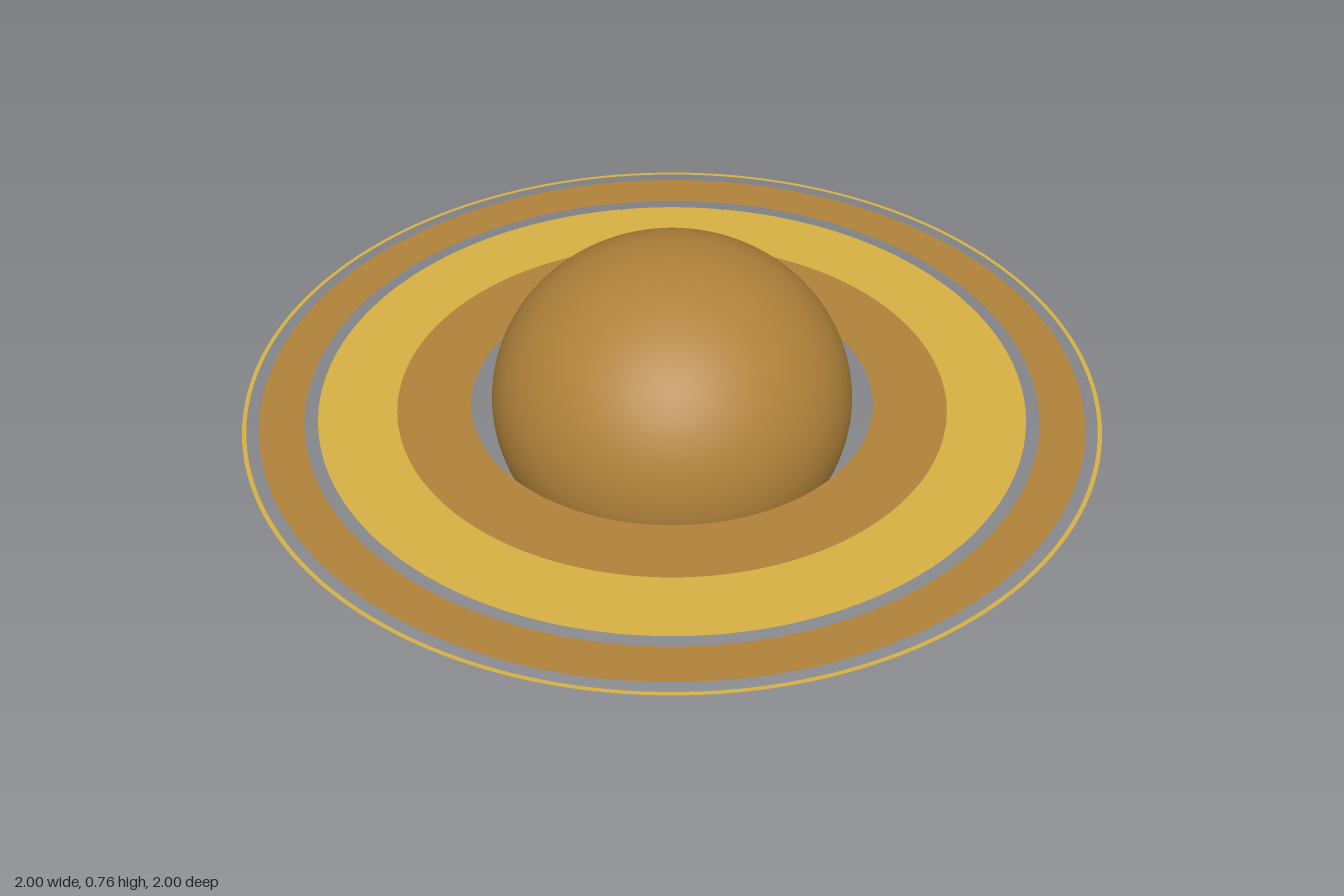
import * as THREE from 'three';

const EQUATOR = 0.422; // planet radius across the rings' plane
const POLE = 0.382;    // flattened radius towards the poles

export function createModel() {
  const model = new THREE.Group();
  model.name = 'ringedPlanet';

  const tan = new THREE.MeshStandardMaterial({ name: 'tan brown', color: 0xb0823a, side: THREE.DoubleSide });
  const gold = new THREE.MeshStandardMaterial({ name: 'dull gold', color: 0xd6b042, side: THREE.DoubleSide });

  // Planet: a sphere squashed at the poles
  const ball = new THREE.SphereGeometry(1, 96, 64);
  ball.scale(EQUATOR, POLE, EQUATOR);
  const planet = new THREE.Mesh(ball, tan);
  planet.name = 'planet';
  planet.position.y = POLE;
  model.add(planet);

  // Flat rings around the equator, from the inside out
  const rings = [
    ['innerRing', 0.471, 0.643, tan],
    ['middleRing', 0.643, 0.826, gold],
    ['outerRing', 0.857, 0.962, tan],
    ['rimRing', 0.99, 1, gold],
  ];
  for (const [name, inner, outer, material] of rings) {
    const disc = new THREE.RingGeometry(inner, outer, 160, 1);
    disc.rotateX(-Math.PI / 2);
    const ring = new THREE.Mesh(disc, material);
    ring.name = name;
    ring.position.y = POLE;
    model.add(ring);
  }
  return model;
}
